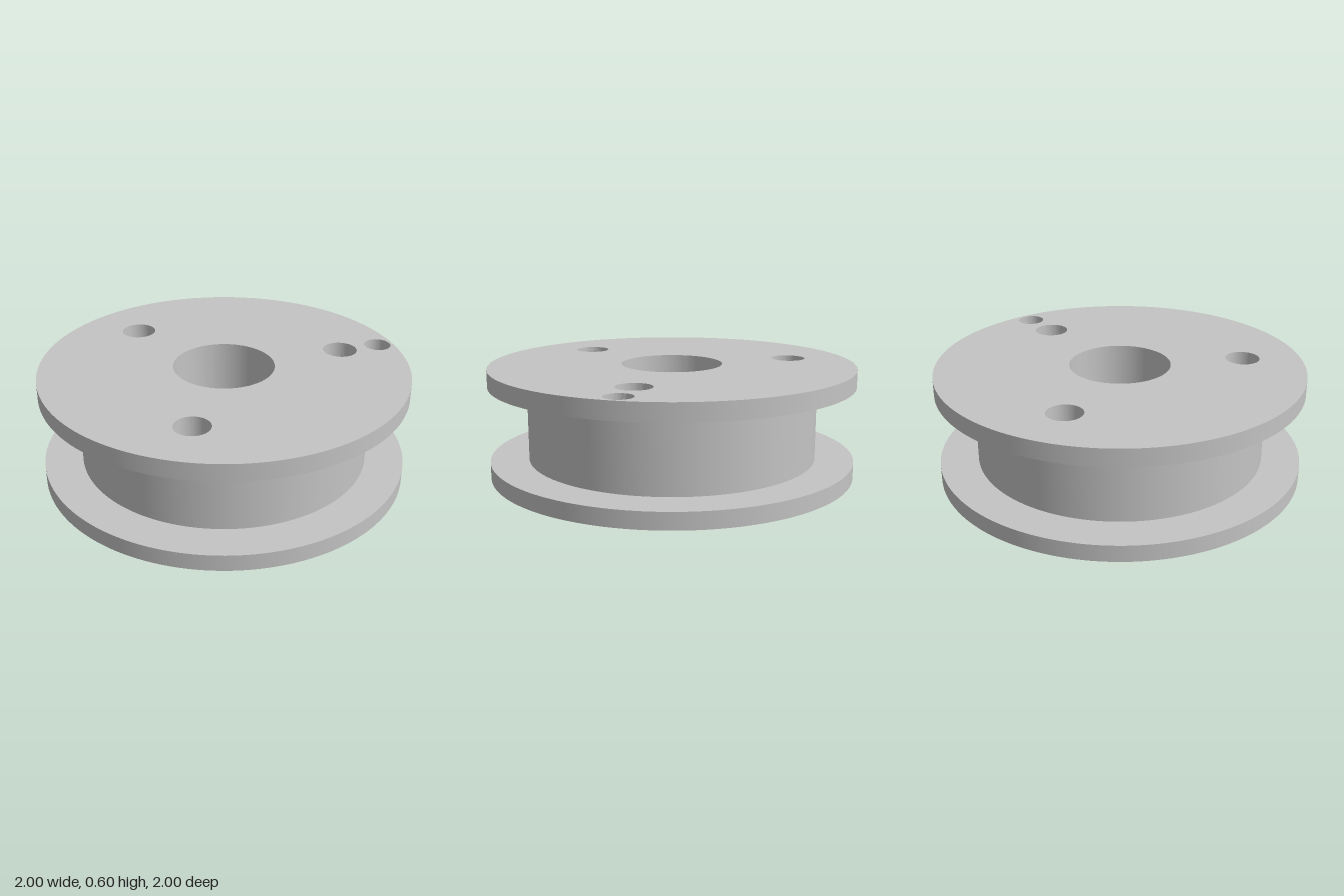
import * as THREE from 'three';
import { toCreasedNormals } from 'three/addons/utils/BufferGeometryUtils.js';

const BORE = { x: 0, z: 0, r: 0.275 };

// Evenly spaced holes on a circle around the axis
function holeRing(count, ringRadius, r) {
  return Array.from({ length: count }, (_, i) => {
    const a = (i / count) * Math.PI * 2;
    return { x: ringRadius * Math.cos(a), z: ringRadius * Math.sin(a), r };
  });
}

// Round plate from y0 to y1 with round holes through it
function disc(name, radius, y0, y1, holes, material) {
  const shape = new THREE.Shape().absarc(0, 0, radius, 0, Math.PI * 2, false);
  for (const h of [BORE, ...holes]) {
    shape.holes.push(new THREE.Path().absarc(h.x, -h.z, h.r, 0, Math.PI * 2, true));
  }
  const extruded = new THREE.ExtrudeGeometry(shape, {
    depth: y1 - y0, bevelEnabled: false, curveSegments: 96,
  });
  extruded.rotateX(-Math.PI / 2).translate(0, y0, 0);
  const mesh = new THREE.Mesh(toCreasedNormals(extruded, Math.PI / 6), material);
  mesh.name = name;
  return mesh;
}

export function createModel() {
  const group = new THREE.Group();
  group.name = 'flangedSpool';
  const grey = new THREE.MeshStandardMaterial({ color: 0xc4c4c4 });
  grey.name = 'light grey';

  const wells = holeRing(3, 0.68, 0.094);
  const boltHoles = holeRing(6, 0.73, 0.06);
  const threadHole = { x: 0.91, z: 0, r: 0.074 };

  group.add(
    disc('bottomFlange', 1, 0, 0.09, boltHoles, grey),
    disc('hub', 0.792, 0.09, 0.503, wells, grey),
    disc('topFlange', 1, 0.503, 0.597, [...wells, threadHole], grey),
  );
  return group;
}
